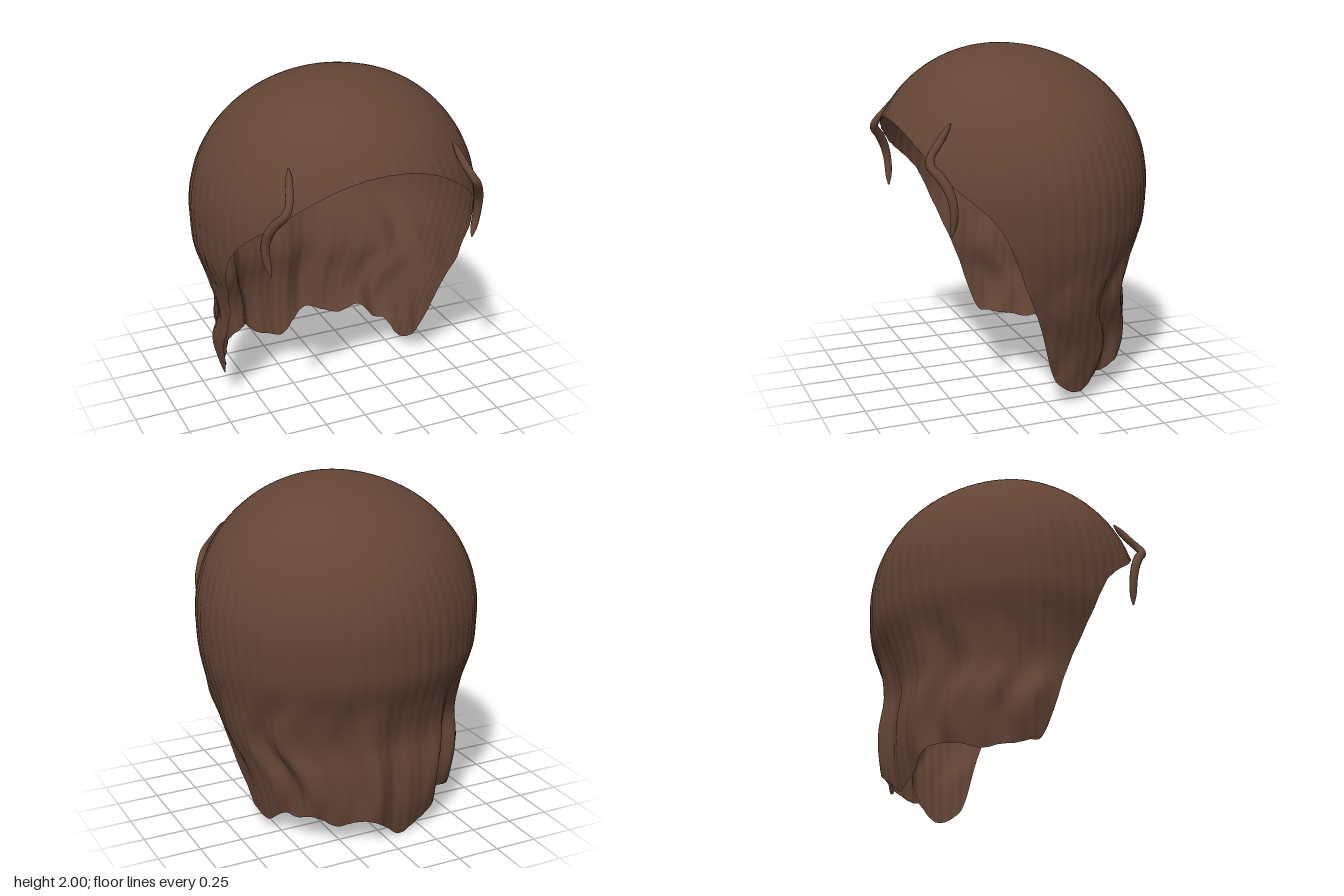
import * as THREE from 'three';
import { mergeVertices } from 'three/addons/utils/BufferGeometryUtils.js';

const { smoothstep, clamp } = THREE.MathUtils;

const lookup = (xs, ys) => {
  const f = new THREE.CubicInterpolant(xs, ys, 1, new Float32Array(1));
  return (t) => f.evaluate(clamp(t, xs[0], xs[xs.length - 1]))[0];
};

// Half-extents of the cross-section below the dome, by height
const heights = [0, 0.2, 0.4, 0.6, 0.8, 1, 1.2];
const leftWidth = lookup(heights, [0.57, 0.61, 0.66, 0.725, 0.77, 0.815, 0.83]);
const rightWidth = lookup(heights, [0.62, 0.68, 0.72, 0.705, 0.75, 0.815, 0.83]);
const backDepth = lookup(heights, [0.605, 0.645, 0.65, 0.63, 0.67, 0.74, 0.757]);
const FRONT_DEPTH = 0.853;
const DOME_Y = 1.2, DOME_H = 0.8, DOME_POWER = 0.95;

// Hem height by angle from the front: face opening first, then the ragged ends
const openA = [0, 0.2, 0.43, 0.68, 0.81, 1.05, 1.15, 1.33, 1.45, 1.57];
const openY = [1.615, 1.6, 1.545, 1.43, 1.35, 1.2, 1.1, 0.75, 0.5, 0.2];
const hemLeft = lookup(
  [...openA, 1.68, 1.88, 2.09, 2.2, 2.41, 2.62, 2.8, 2.97, 3.1416],
  [...openY, 0.11, 0.06, 0.14, 0.13, 0.17, 0.11, 0.13, 0.14, 0.07]);
const hemRight = lookup(
  [...openA, 1.7, 1.9, 2.06, 2.3, 2.56, 2.69, 2.85, 3.0, 3.1416],
  [...openY, 0.16, 0.14, 0.12, 0.16, 0.17, 0.08, 0.03, 0.0, 0.07]);

function hairPoint(angle, s) {
  // Round dome down to DOME_Y, then a hanging curtain
  const onDome = s <= 1;
  const y = onDome
    ? DOME_Y + DOME_H * Math.max(0, Math.cos(s * Math.PI / 2)) ** DOME_POWER
    : DOME_Y - (s - 1) * DOME_Y;
  const spread = onDome ? Math.sin(s * Math.PI / 2) : 1;
  const sx = Math.sin(angle), cz = Math.cos(angle);

  // Loose S-shaped waves toward the ends, plus faint strands everywhere
  const loose = (1 - smoothstep(y, 0.45, 1.0)) * (0.5 + 0.5 * smoothstep(y, 0, 0.35));
  const back = 0.35 + 0.65 * smoothstep(-cz, -0.1, 0.6);
  const swayed = angle + 0.1 * Math.cos(10 * (y - 0.62)) * sx;
  const wave = 0.034 * Math.sin(11 * swayed) + 0.02 * Math.sin(19 * swayed + 1);
  const strand = 0.003 * Math.sin(64 * angle + 6 * y) * spread ** 3;
  const diagonal = cz < 0 ? 1 - 0.015 * Math.sin(2 * angle) ** 2 : 1;
  const k = spread * diagonal + loose * back * wave + strand;

  const w = sx > 0 ? leftWidth(y) : rightWidth(y);
  const d = cz > 0 ? FRONT_DEPTH : backDepth(y);
  return [sx * w * k, y, cz * d * k + 0.1 * (1 - spread)];
}

function hairGeometry(cols = 360, rows = 70) {
  const pos = [], index = [];
  for (let r = 0; r <= rows; r++) {
    for (let c = 0; c <= cols; c++) {
      const angle = -Math.PI + (c / cols) * Math.PI * 2;
      const hem = angle > 0 ? hemLeft(angle) : hemRight(-angle);
      const end = hem > DOME_Y
        ? Math.acos(((hem - DOME_Y) / DOME_H) ** (1 / DOME_POWER)) * 2 / Math.PI
        : 1 + (DOME_Y - hem) / DOME_Y;
      pos.push(...hairPoint(angle, end * r / rows));
      if (r < rows && c < cols) {
        const a = r * (cols + 1) + c, b = a + cols + 1;
        if (r > 0) index.push(a, b, a + 1);
        index.push(a + 1, b, b + 1);
      }
    }
  }
  let geo = new THREE.BufferGeometry();
  geo.setAttribute('position', new THREE.Float32BufferAttribute(pos, 3));
  geo.setIndex(index);
  geo = mergeVertices(geo, 1e-4);
  geo.computeVertexNormals();
  return geo;
}

// Tapered lock hanging beside the face
function lockGeometry(side) {
  const points = [
    [0.485, 1.66, 0.55], [0.51, 1.57, 0.62], [0.54, 1.495, 0.68], [0.565, 1.455, 0.685],
    [0.6, 1.4, 0.645], [0.632, 1.32, 0.605], [0.637, 1.22, 0.585], [0.61, 1.08, 0.59],
  ].map(([x, y, z]) => new THREE.Vector3(x * side, y, z));
  const curve = new THREE.CatmullRomCurve3(points);
  const segs = 40, sides = 12;
  const radius = lookup([0, 0.06, 0.3, 0.5, 0.75, 0.93, 1], [0.004, 0.016, 0.022, 0.027, 0.024, 0.017, 0.004]);
  const geo = new THREE.TubeGeometry(curve, segs, 1, sides, false);
  const p = geo.attributes.position, v = new THREE.Vector3();
  for (let i = 0; i < p.count; i++) {
    const t = Math.floor(i / (sides + 1)) / segs;
    const centre = curve.getPointAt(t);
    v.fromBufferAttribute(p, i).sub(centre).multiplyScalar(radius(t)).add(centre);
    p.setXYZ(i, v.x, v.y, v.z);
  }
  return geo;
}

export function createModel() {
  const group = new THREE.Group();
  group.name = 'hair';
  const brown = new THREE.MeshStandardMaterial({ color: 0x644536, side: THREE.DoubleSide });
  brown.name = 'brown hair';

  const add = (geo, name) => {
    const mesh = new THREE.Mesh(geo, brown);
    mesh.name = name;
    group.add(mesh);
  };
  add(hairGeometry(), 'hairShell');
  add(lockGeometry(1), 'leftLock');
  add(lockGeometry(-1), 'rightLock');
  return group;
}
